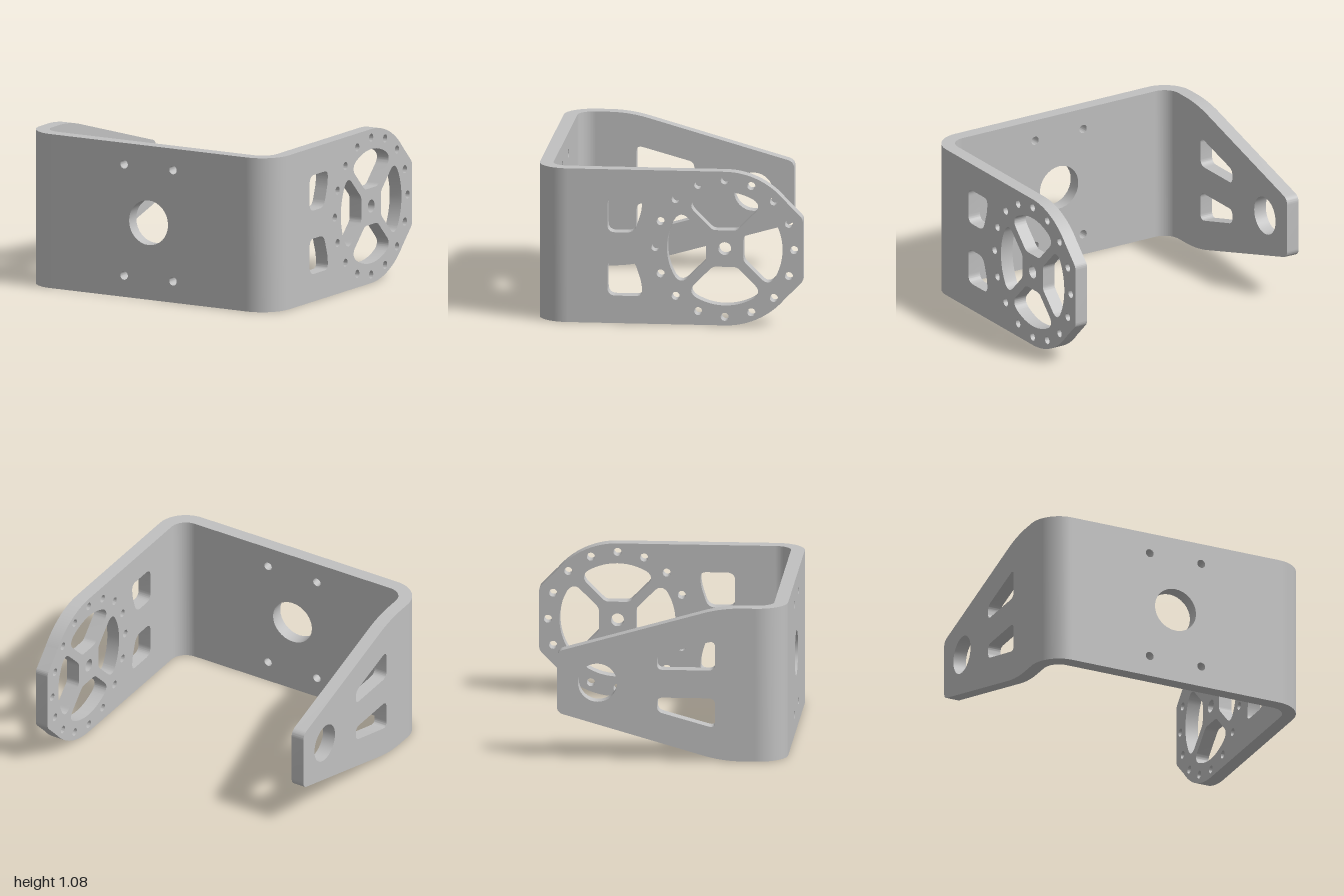
import * as THREE from 'three';
import { toCreasedNormals } from 'three/addons/utils/BufferGeometryUtils.js';

const H = 1.08, MID = H / 2, T = 0.095; // height, mid height, sheet thickness
const FRONT = 0.92, R = 0.21;           // front face z, outer bend radius
const AXIS = 0.38;                      // pivot axis distance behind the centre

// Closed outline from [x, y, cornerCut] points; a cut rounds that corner
function outline(pts, Type = THREE.Path) {
  const path = new Type();
  const n = pts.length;
  const toward = (a, b, d) => {
    const l = Math.hypot(b[0] - a[0], b[1] - a[1]);
    return [a[0] + (b[0] - a[0]) * d / l, a[1] + (b[1] - a[1]) * d / l];
  };
  pts.forEach((p, i) => {
    const cut = p[2] || 0;
    const a = cut ? toward(p, pts[(i + n - 1) % n], cut) : p;
    if (i === 0) path.moveTo(a[0], a[1]);
    else path.lineTo(a[0], a[1]);
    if (cut) {
      const b = toward(p, pts[(i + 1) % n], cut);
      path.quadraticCurveTo(p[0], p[1], b[0], b[1]);
    }
  });
  path.closePath();
  return path;
}

function circle(x, y, r) {
  return new THREE.Path().absarc(x, y, r, 0, Math.PI * 2, true);
}

const flipY = pts => pts.map(([x, y, c]) => [x, H - y, c]);

function extrude(shape, depth) {
  return new THREE.ExtrudeGeometry(shape, { depth, bevelEnabled: false, curveSegments: 16 });
}

export function createModel() {
  const group = new THREE.Group();
  const metal = new THREE.MeshStandardMaterial({ color: 0xc0c0c0 });
  metal.name = 'grey metal';

  const add = (name, geometry) => {
    const mesh = new THREE.Mesh(toCreasedNormals(geometry, 0.5), metal);
    mesh.name = name;
    group.add(mesh);
  };

  // Front plate with a large centre hole and four screw holes
  const w = 1 - R;
  const plate = outline([[-w, 0], [w, 0], [w, H], [-w, H]], THREE.Shape);
  plate.holes.push(circle(0, MID, 0.157));
  for (const x of [-0.197, 0.197]) {
    for (const y of [0.15, 0.93]) plate.holes.push(circle(x, y, 0.03));
  }
  add('frontPlate', extrude(plate, T).translate(0, 0, FRONT - T));

  // Rounded vertical bends joining the plate to the arms
  for (const side of [1, -1]) {
    const start = side > 0 ? -Math.PI / 2 : -Math.PI;
    const bend = new THREE.Shape();
    bend.absarc(0, 0, R, start, start + Math.PI / 2, false);
    bend.absarc(0, 0, R - T, start + Math.PI / 2, start, true);
    bend.closePath();
    const geometry = extrude(bend, H).rotateX(-Math.PI / 2);
    add(side > 0 ? 'leftBend' : 'rightBend', geometry.translate(side * w, 0, FRONT - R));
  }

  // Arms are drawn as (distance backwards, height) and turned sideways
  const addArm = (name, shape, x) =>
    add(name, extrude(shape, T).rotateY(Math.PI / 2).translate(x, 0, 0));
  const root = R - FRONT;

  // Left arm: rounded disc end
  const disc = new THREE.Shape();
  const sweep = 0.70;
  disc.moveTo(root, 0);
  disc.lineTo(AXIS, 0);
  disc.absarc(AXIS, MID, MID, -Math.PI / 2, -sweep, false);
  disc.lineTo(0.905, 0.305);
  disc.quadraticCurveTo(0.92, 0.32, 0.92, 0.345);
  disc.lineTo(0.92, H - 0.345);
  disc.quadraticCurveTo(0.92, H - 0.32, 0.905, H - 0.305);
  disc.absarc(AXIS, MID, MID, sweep, Math.PI / 2, false);
  disc.lineTo(root, H);
  disc.closePath();

  // Pivot hole and ring of bolt holes
  disc.holes.push(circle(AXIS, MID, 0.045));
  for (let i = 0; i < 16; i++) {
    const a = i * Math.PI / 8;
    disc.holes.push(circle(AXIS + 0.48 * Math.cos(a), MID + 0.48 * Math.sin(a), 0.028));
  }

  // Four openings between the diagonal spokes
  const slot = [[0.128, -0.083, 0.025], [0.304, -0.259, 0.072]];
  for (let i = -6; i <= 6; i++) {
    const a = i * Math.PI / 36;
    slot.push([0.4 * Math.cos(a), 0.4 * Math.sin(a)]);
  }
  slot.push([0.304, 0.259, 0.072], [0.128, 0.083, 0.025]);
  for (let k = 0; k < 4; k++) {
    const c = Math.round(Math.cos(k * Math.PI / 2));
    const s = Math.round(Math.sin(k * Math.PI / 2));
    disc.holes.push(outline(slot.map(([x, y, cut]) => [AXIS + c * x - s * y, MID + s * x + c * y, cut])));
  }

  // Pair of windows near the bend
  const window = [
    [-0.432, 0.638, 0.055], [-0.245, 0.638, 0.055], [-0.192, 0.80, 0.05],
    [-0.192, 0.887, 0.04], [-0.432, 0.887, 0.06],
  ];
  disc.holes.push(outline(window), outline(flipY(window)));
  addArm('leftDiscArm', disc, 1 - T);

  // Right arm: tapered, with a pivot hole and two wedge windows
  const lower = [[root, 0], [-0.48, 0, 0.14], [0.66, 0.325, 0.045]];
  const taper = outline([...lower, ...flipY(lower).reverse()], THREE.Shape);
  const wedge = [
    [-0.432, 0.638, 0.05], [-0.03, 0.638, 0.04],
    [-0.03, 0.738, 0.04], [-0.432, 0.85, 0.05],
  ];
  taper.holes.push(circle(AXIS, MID, 0.135), outline(wedge), outline(flipY(wedge)));
  addArm('rightTaperedArm', taper, -1);

  return group;
}
